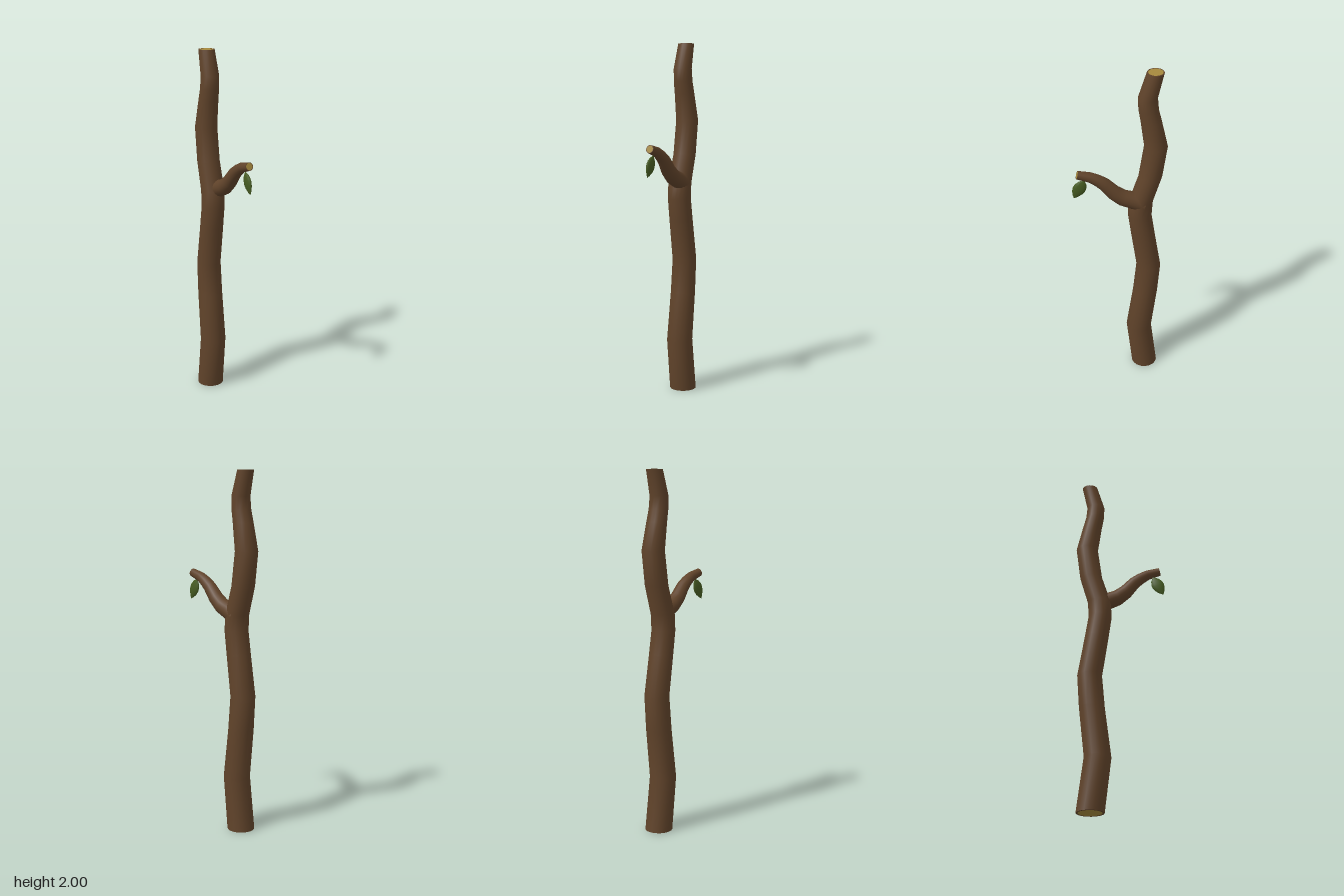
import * as THREE from 'three';

const SIDES = 18;
const bark = new THREE.MeshStandardMaterial({ color: 0x60432a });
const wood = new THREE.MeshStandardMaterial({ color: 0xa5893d });
const green = new THREE.MeshStandardMaterial({ color: 0x465c22, side: THREE.DoubleSide });

// Skin round cross-sections [x, y, z, radius]; direction(i) gives each ring's facing
function limb(name, rings, direction) {
  const positions = [], index = [];
  const right = new THREE.Vector3(1, 0, 0);
  rings.forEach(([x, y, z, r], i) => {
    const t = direction(i);
    const v = t.clone().cross(right).normalize();
    const u = v.clone().cross(t).normalize();
    for (let j = 0; j < SIDES; j++) {
      const a = (j / SIDES) * Math.PI * 2;
      const p = new THREE.Vector3(x, y, z)
        .addScaledVector(u, r * Math.cos(a))
        .addScaledVector(v, r * Math.sin(a));
      positions.push(p.x, p.y, p.z);
      if (i < rings.length - 1) {
        const k = (j + 1) % SIDES, lo = i * SIDES, hi = lo + SIDES;
        index.push(lo + j, lo + k, hi + k, lo + j, hi + k, hi + j);
      }
    }
  });
  const geometry = new THREE.BufferGeometry();
  geometry.setAttribute('position', new THREE.Float32BufferAttribute(positions, 3));
  geometry.setIndex(index);
  geometry.computeVertexNormals();
  const mesh = new THREE.Mesh(geometry, bark);
  mesh.name = name;
  return mesh;
}

// Sawn end: pale wood disc inside a thin bark rim
function cutEnd(name, [x, y, z, r], facing) {
  const group = new THREE.Group();
  group.name = name;
  const core = new THREE.Mesh(new THREE.CircleGeometry(r * 0.86, SIDES), wood);
  core.name = name + 'Wood';
  const rim = new THREE.Mesh(new THREE.RingGeometry(r * 0.86, r, SIDES), bark);
  rim.name = name + 'Rim';
  group.add(core, rim);
  group.position.set(x, y, z);
  group.quaternion.setFromUnitVectors(new THREE.Vector3(0, 0, 1), facing);
  return group;
}

export function createModel() {
  const model = new THREE.Group();
  model.name = 'branchStick';

  // Wavy trunk with level rings
  const trunk = [
    [-0.004, 0, -0.155, 0.076],
    [-0.004, 0.3, -0.119, 0.074],
    [-0.004, 0.58, -0.153, 0.071],
    [-0.004, 0.77, -0.168, 0.069],
    [-0.004, 1.0, -0.132, 0.067],
    [-0.004, 1.13, -0.113, 0.066],
    [-0.004, 1.22, -0.118, 0.066],
    [-0.004, 1.38, -0.167, 0.064],
    [-0.004, 1.57, -0.193, 0.063],
    [-0.004, 1.72, -0.165, 0.056],
    [-0.004, 1.79, -0.15, 0.053],
    [-0.004, 1.86, -0.145, 0.051],
    [-0.005, 2.0, -0.182, 0.045],
  ];
  const up = new THREE.Vector3(0, 1, 0);
  model.add(limb('trunk', trunk, () => up));
  model.add(cutEnd('trunkTop', trunk[trunk.length - 1], up));
  model.add(cutEnd('trunkBase', trunk[0], up.clone().negate()));

  // Side branch curving forward and up
  const branch = [
    [0.01, 1.215, -0.13, 0.052],
    [0.015, 1.24, -0.07, 0.048],
    [0.018, 1.262, -0.015, 0.045],
    [0.02, 1.3, 0.033, 0.041],
    [0.024, 1.358, 0.082, 0.036],
    [0.026, 1.386, 0.118, 0.032],
    [0.028, 1.41, 0.16, 0.028],
    [0.03, 1.43, 0.229, 0.023],
  ];
  const point = (i) => new THREE.Vector3(...branch[i].slice(0, 3));
  const along = (i) => point(Math.min(i + 1, branch.length - 1))
    .sub(point(Math.max(i - 1, 0))).normalize();
  model.add(limb('sideBranch', branch, along));
  model.add(cutEnd('branchTip', branch[branch.length - 1], along(branch.length - 1)));

  // Thin pointed leaf hanging below the branch tip
  const profile = [[0, 0], [0.006, 0.012], [0.023, 0.028], [0.034, 0.052],
    [0.036, 0.072], [0.03, 0.095], [0.015, 0.12], [0, 0.136]];
  const leafShape = new THREE.LatheGeometry(profile.map(([r, y]) => new THREE.Vector2(r, y)), 12);
  leafShape.scale(0.34, 1, 1);
  const leaf = new THREE.Mesh(leafShape, green);
  leaf.name = 'leaf';
  leaf.position.set(0.027, 1.4, 0.188);
  leaf.quaternion.setFromUnitVectors(up, new THREE.Vector3(0, -0.894, 0.447).normalize());
  model.add(leaf);

  return model;
}
